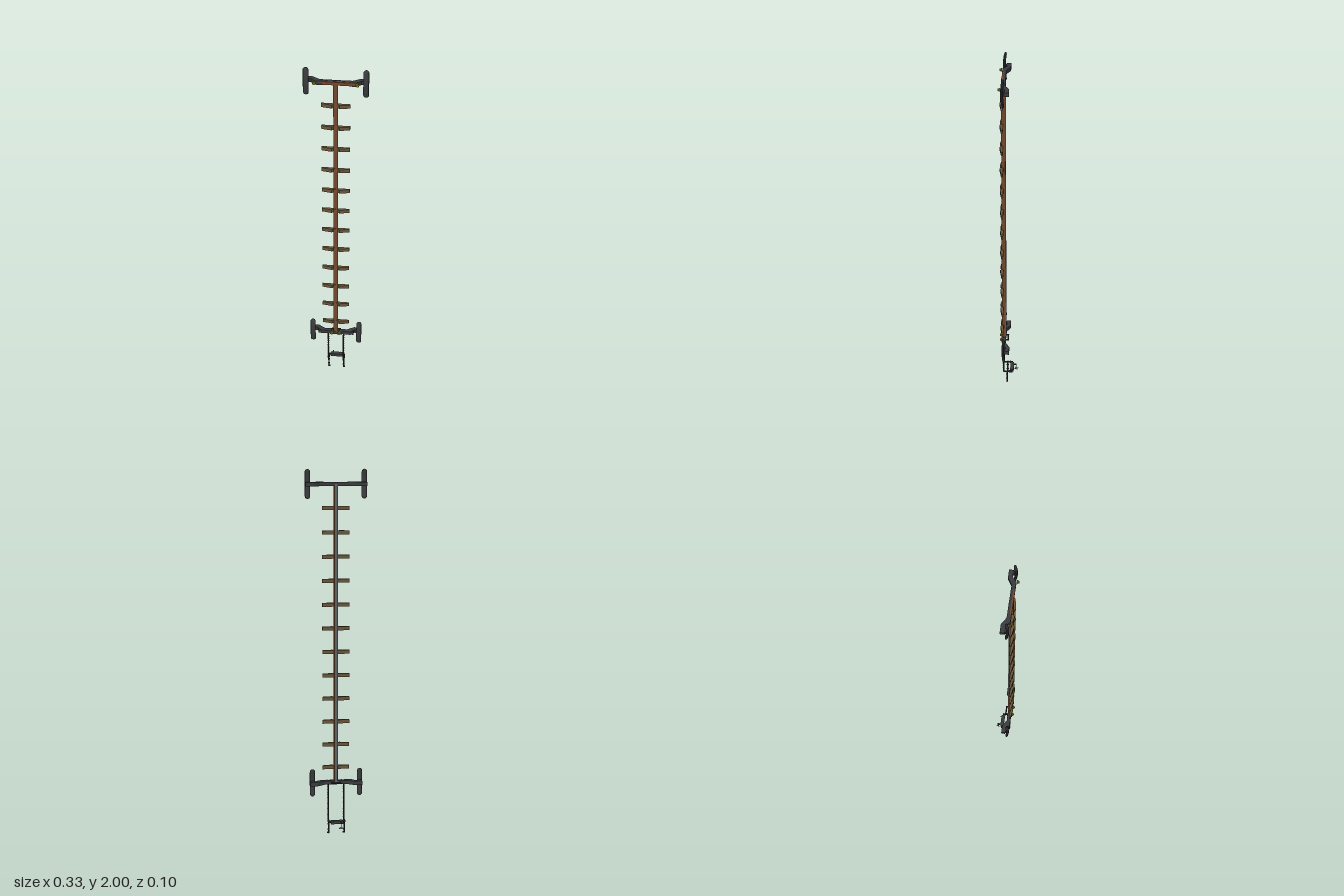
import * as THREE from 'three';

const mat = (color) => new THREE.MeshStandardMaterial({ color, flatShading: true });

export function createModel() {
  const root = new THREE.Group();
  const dark = mat(0x3b3c3f), black = mat(0x2b2c2e), brown = mat(0x75482c);
  const wood = mat(0x6a573b), yellow = mat(0x8f8a14), steel = mat(0x606368);

  const add = (parent, name, geo, m, x = 0, y = 0, z = 0) => {
    const mesh = new THREE.Mesh(geo, m);
    mesh.name = name;
    mesh.position.set(x, y, z);
    parent.add(mesh);
    return mesh;
  };
  const box = (p, name, m, w, h, d, x, y, z) => add(p, name, new THREE.BoxGeometry(w, h, d), m, x, y, z);
  // Plan outline given as [x, z] pairs, extruded to height h around y = 0
  const slab = (points, h) => {
    const shape = new THREE.Shape(points.map(([x, z]) => new THREE.Vector2(x, -z)));
    const geo = new THREE.ExtrudeGeometry(shape, { depth: h, bevelEnabled: false });
    return geo.rotateX(-Math.PI / 2).translate(0, -h / 2, 0);
  };
  const rod = (p, name, m, a, b, r, sides = 8) => {
    const A = new THREE.Vector3(...a), B = new THREE.Vector3(...b);
    const dir = B.clone().sub(A);
    const mesh = add(p, name, new THREE.CylinderGeometry(r, r, dir.length(), sides), m);
    mesh.position.copy(A).add(B).multiplyScalar(0.5);
    mesh.quaternion.setFromUnitVectors(new THREE.Vector3(0, 1, 0), dir.normalize());
    return mesh;
  };
  const pipe = (p, name, m, points, r) => {
    points.slice(1).forEach((b, i) => rod(p, name, m, points[i], b, r));
    points.slice(1, -1).forEach((c) => add(p, name + 'Joint', new THREE.SphereGeometry(r * 1.3, 8, 6), m, ...c));
  };

  // Spine: tapered wooden front with a metal channel behind
  const spine = slab([[-0.009, 0.02], [-0.012, 0.04], [0.012, 0.04], [0.009, 0.02]], 1.63);
  add(root, 'spine', spine, brown, 0, 1.105, 0);
  box(root, 'spineBack', steel, 0.012, 1.63, 0.005, 0, 1.105, 0.0185);

  // Rungs, deepest beside the spine
  const rungPlan = [[-0.073, 0.03], [-0.073, 0.039], [-0.02, 0.048], [-0.011, 0.041],
    [0.011, 0.041], [0.02, 0.048], [0.073, 0.039], [0.073, 0.03]];
  const rungGeo = slab(rungPlan, 0.02);
  for (let i = 0; i < 12; i++) add(root, 'rung', rungGeo, wood, 0, 0.374 + i * 0.129, 0);

  // Crossbar with cranked arms, curved pads and bolts
  const crossbar = (name, y, padX, boltX, front) => {
    const g = new THREE.Group();
    g.name = name;
    g.position.y = y;
    box(g, 'crossbarBeam', dark, 0.2, 0.02, 0.012, 0, 0, 0.023);
    box(g, 'crossbarFace', front, 0.2, 0.018, 0.01, 0, 0, 0.033);
    for (const s of [-1, 1]) {
      const end = padX + 0.012;
      const plan = [[padX - 0.085, 0.018], [padX - 0.067, 0.018], [padX - 0.03, -0.005], [end, -0.005],
        [end, 0.017], [padX - 0.025, 0.017], [padX - 0.047, 0.038], [padX - 0.085, 0.038]];
      add(g, 'arm', slab(plan.map(([x, z]) => [s * x, z]), 0.022), dark);
      box(g, 'padMount', black, 0.014, 0.02, 0.012, s * padX, 0, 0.02);
      // Pad: flattened capsule whose ends sweep back
      const pad = new THREE.CapsuleGeometry(0.0145, 0.126, 5, 12, 10).scale(1, 1, 0.5);
      const pos = pad.attributes.position;
      for (let i = 0; i < pos.count; i++) pos.setZ(i, pos.getZ(i) - 1.3 * pos.getY(i) ** 2);
      pad.computeVertexNormals();
      add(g, 'pad', pad, dark, s * padX, 0, 0.031);
      const bolt = new THREE.CylinderGeometry(0.006, 0.01, 0.012, 8).rotateX(Math.PI / 2);
      add(g, 'bolt', bolt, yellow, s * boltX, 0, 0.046);
    }
    root.add(g);
    return g;
  };
  crossbar('upperCrossbar', 1.92, 0.15, 0.108, brown);
  const lower = crossbar('lowerCrossbar', 0.29, 0.13, 0.022, dark);
  box(lower, 'spineSocket', dark, 0.07, 0.02, 0.012, 0, 0, 0.036);
  pipe(lower, 'rearHandle', black,
    [[-0.022, 0, 0.02], [-0.022, 0, 0.005], [0.022, 0, 0.005], [0.022, 0, 0.02]], 0.004);

  // Hanging lines with evenly spaced links, piped to the rear unit
  const rig = new THREE.Group();
  rig.name = 'hangingRig';
  root.add(rig);
  const link = new THREE.SphereGeometry(0.0055, 8, 6);
  for (const s of [-1, 1]) {
    const x = s * 0.043;
    rod(rig, 'hangingLine', black, [x, 0.29, 0.03], [x, 0.075, 0.03], 0.004);
    for (let i = 0; i < 13; i++) add(rig, 'lineLink', link, black, x, 0.28 - i * 0.016, 0.03);
    pipe(rig, 'sidePipe', black, [[x, 0.075, 0.03], [x, 0.075, -0.016], [s * 0.03, 0.075, -0.016]], 0.0045);
    for (const z of [-0.005, 0.008]) {
      const collar = new THREE.CylinderGeometry(0.007, 0.007, 0.006, 8).rotateX(Math.PI / 2);
      add(rig, 'collar', collar, dark, x, 0.075, z);
    }
    pipe(rig, 'dropPipe', black, [[x, 0.075, 0.01], [x, 0.006, 0.01], [x + 0.008, 0.006, 0.01]], 0.004);
    for (const y of [0.025, 0.055]) add(rig, 'dropCollar', new THREE.CylinderGeometry(0.006, 0.006, 0.006, 8), dark, x, y, 0.01);
  }

  // Rear unit with nozzle, valve wheel and a small pin
  box(rig, 'rearUnit', dark, 0.066, 0.018, 0.02, 0, 0.074, -0.017);
  rod(rig, 'nozzle', black, [-0.022, 0.075, -0.025], [-0.022, 0.075, -0.042], 0.004);
  rod(rig, 'valveStem', steel, [-0.022, 0.08, -0.04], [-0.022, 0.045, -0.04], 0.002);
  for (const a of [0, Math.PI / 2]) {
    box(rig, 'valveSpoke', steel, 0.024, 0.003, 0.004, -0.022, 0.046, -0.041).rotation.y = a + 0.5;
  }
  rod(rig, 'pin', steel, [0.022, 0.078, -0.026], [0.022, 0.078, -0.036], 0.0015);
  return root;
}
